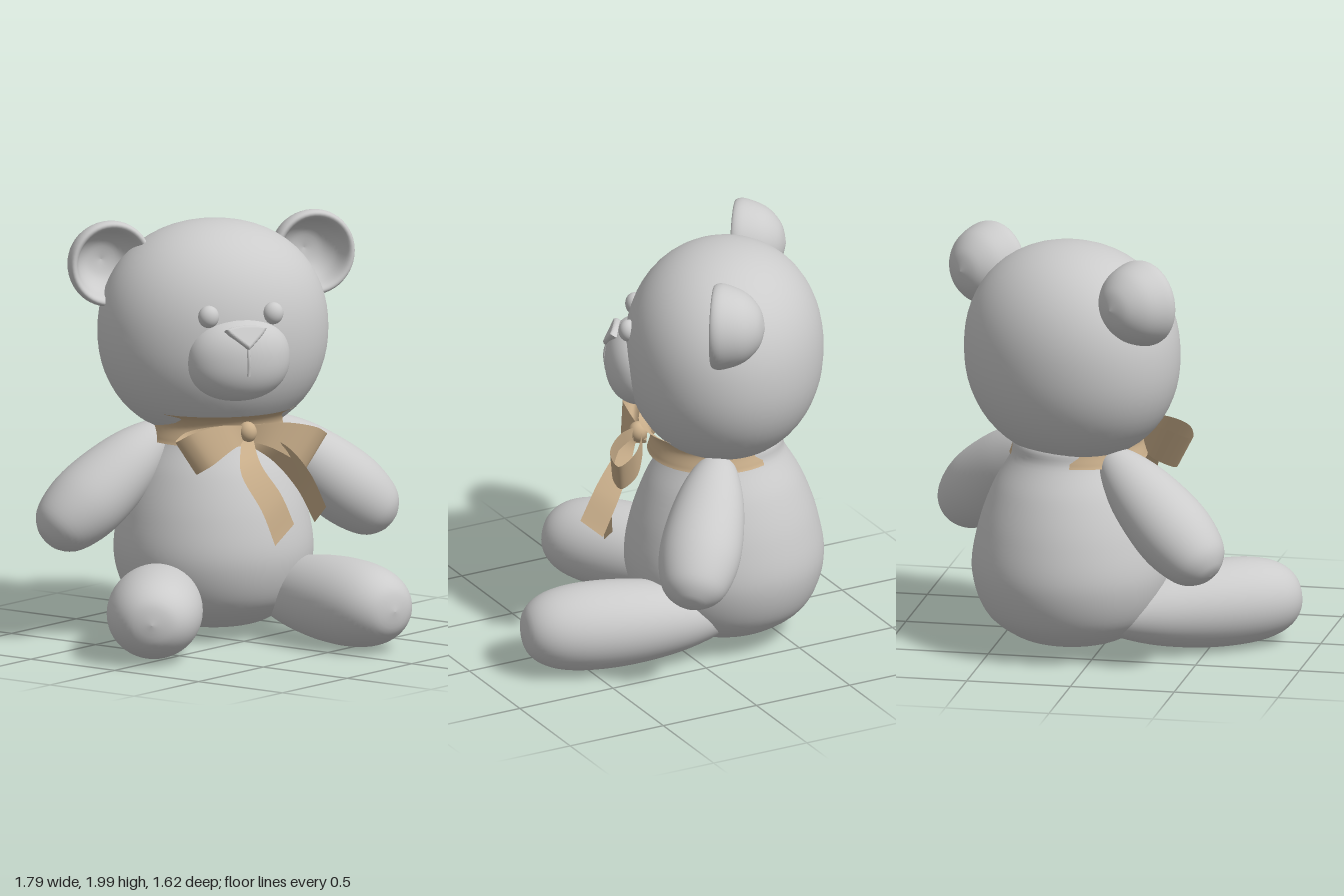
import * as THREE from 'three';
import { mergeVertices } from 'three/addons/utils/BufferGeometryUtils.js';

const fur = new THREE.MeshStandardMaterial({ color: 0xcccccc });
const cloth = new THREE.MeshStandardMaterial({ color: 0xcbb08c, side: THREE.DoubleSide });
const V = (p) => new THREE.Vector3(...p);

function add(parent, name, geometry, material = fur, position = [0, 0, 0]) {
  const mesh = new THREE.Mesh(geometry, material);
  mesh.name = name;
  mesh.position.set(...position);
  parent.add(mesh);
  return mesh;
}

// Smooth lathe through a few [radius, height] points
function turned(points, samples = 40, segments = 48) {
  const curve = new THREE.SplineCurve(points.map((p) => new THREE.Vector2(...p)));
  const profile = curve.getPoints(samples);
  profile.forEach((p) => { p.x = Math.max(p.x, 0); });
  return new THREE.LatheGeometry(profile, segments);
}

// Ellipsoid; a power above 2 makes its upright outline fuller
function ellipsoid(rx, ry, rz, power = 2) {
  const g = new THREE.SphereGeometry(1, 48, 32);
  g.deleteAttribute('uv');
  g.deleteAttribute('normal');
  const p = g.attributes.position;
  for (let i = 0; i < p.count; i++) {
    const v = new THREE.Vector3().fromBufferAttribute(p, i);
    const r = Math.hypot(v.x, v.z) ** power + Math.abs(v.y) ** power;
    v.divideScalar(r ** (1 / power));
    p.setXYZ(i, v.x * rx, v.y * ry, v.z * rz);
  }
  const merged = mergeVertices(g);
  merged.computeVertexNormals();
  return merged;
}

// Turned limb laid along the line from a to b, widened sideways
function limb(parent, name, profile, a, b, widen) {
  const g = turned(profile).rotateX(Math.PI / 2).scale(widen, 1, 1);
  const mesh = add(parent, name, g, fur, a);
  const turn = new THREE.Matrix4().lookAt(V(b), V(a), new THREE.Vector3(0, 1, 0));
  mesh.quaternion.setFromRotationMatrix(turn);
}

// Ribbon swept along centre points, with a half-width vector at each point
function ribbon(centres, halves, n = 28) {
  const path = new THREE.CatmullRomCurve3(centres.map(V));
  const width = new THREE.CatmullRomCurve3(halves.map(V));
  const pos = [], index = [];
  for (let i = 0; i <= n; i++) {
    const c = path.getPoint(i / n), w = width.getPoint(i / n);
    pos.push(...c.clone().add(w).toArray(), ...c.clone().sub(w).toArray());
    const k = 2 * i;
    if (i < n) index.push(k, k + 1, k + 2, k + 1, k + 3, k + 2);
  }
  const g = new THREE.BufferGeometry();
  g.setAttribute('position', new THREE.Float32BufferAttribute(pos, 3));
  g.setIndex(index);
  g.computeVertexNormals();
  return g;
}

export function createModel() {
  const model = new THREE.Group();
  model.name = 'teddyBear';

  // The bear sits turned towards its own right
  const bear = new THREE.Group();
  bear.name = 'bear';
  bear.position.set(0.14, 0, -0.29);
  bear.rotation.y = -0.594;
  model.add(bear);

  add(bear, 'body', turned([[0, 0.04], [0.15, 0.05], [0.28, 0.09], [0.41, 0.2], [0.472, 0.39],
    [0.445, 0.6], [0.375, 0.8], [0.29, 0.95], [0.25, 1.05], [0, 1.15]], 60));
  add(bear, 'head', ellipsoid(0.553, 0.52, 0.47, 2.15), fur, [-0.003, 1.46, 0]);
  add(bear, 'muzzle', ellipsoid(0.253, 0.203, 0.17, 2.2), fur, [-0.01, 1.382, 0.395]);

  // Nose and the seam below it
  const tri = new THREE.Shape();
  tri.moveTo(-0.085, 0.03);
  tri.quadraticCurveTo(0, 0.05, 0.085, 0.03);
  tri.quadraticCurveTo(0.035, -0.02, 0, -0.05);
  tri.quadraticCurveTo(-0.035, -0.02, -0.085, 0.03);
  const noseShape = new THREE.ExtrudeGeometry(tri, {
    depth: 0.008, bevelSize: 0.014, bevelThickness: 0.018, bevelSegments: 5, curveSegments: 10,
  });
  add(bear, 'nose', noseShape, fur, [-0.01, 1.503, 0.525]).rotation.x = -0.5;
  const seam = new THREE.CatmullRomCurve3([V([-0.01, 1.47, 0.55]), V([-0.01, 1.4, 0.565]), V([-0.01, 1.32, 0.557])]);
  add(bear, 'mouthSeam', new THREE.TubeGeometry(seam, 12, 0.009, 8));

  // Knot and loops share an offset from the middle of the chest
  const bow = new THREE.Group();
  bow.name = 'bow';
  bow.position.set(0.035, 0, -0.015);
  bear.add(bow);
  add(bow, 'bowKnot', ellipsoid(0.045, 0.05, 0.045), cloth, [0, 1.025, 0.42]);

  // Paired parts
  const legProfile = [[0, -0.02], [0.08, 0.02], [0.15, 0.2], [0.19, 0.4], [0.207, 0.6],
    [0.2, 0.78], [0.166, 0.91], [0.1, 0.99], [0, 1.015]];
  const armProfile = [[0, -0.02], [0.075, 0.02], [0.14, 0.18], [0.175, 0.38], [0.178, 0.55],
    [0.14, 0.7], [0.07, 0.77], [0, 0.785]];
  const earProfile = [[0, -0.235], [0.09, -0.21], [0.165, -0.14], [0.203, -0.04], [0.197, 0.008],
    [0.17, 0.002], [0.135, -0.08], [0.08, -0.135], [0, -0.155]];
  for (const [side, s] of [['left', 1], ['right', -1]]) {
    limb(bear, side + 'Leg', legProfile, [s * 0.25, 0.215, -0.05], [s * 0.605, 0.215, 0.9], 1.09);
    limb(bear, side + 'Arm', armProfile, [s * 0.25, 0.99, 0], [s * 0.72, 0.61, 0.06], 1.07);
    add(bear, side + 'Ear', turned(earProfile).rotateX(Math.PI / 2), fur, [s * 0.505, 1.79, -0.01]);
    add(bear, side + 'Eye', ellipsoid(0.05, 0.053, 0.045), fur, [s * 0.16 - 0.01, 1.595, 0.44]);

    // Drooping bow loop: out along the front, back along the rear
    add(bow, side + 'BowLoop', ribbon(
      [[0, 1.02, 0.42], [s * 0.13, 1.015, 0.49], [s * 0.27, 0.965, 0.52], [s * 0.325, 0.925, 0.475],
        [s * 0.26, 0.955, 0.41], [s * 0.13, 0.995, 0.39], [0, 1.02, 0.4]],
      [[0, 0.035, 0], [s * 0.03, 0.06, 0], [s * 0.05, 0.08, 0], [s * 0.052, 0.08, 0],
        [s * 0.05, 0.08, 0], [s * 0.03, 0.06, 0], [0, 0.035, 0]], 40), cloth);
  }

  // Neck band
  const band = turned([[0.325, 0.95], [0.318, 0.97], [0.305, 1.03], [0.325, 1.075], [0.365, 1.1]]);
  add(bear, 'neckBand', band.scale(1.03, 1, 0.98), cloth, [0, 0, 0.045]);

  // Hanging ribbon ends
  add(model, 'rightRibbonTail', ribbon(
    [[-0.07, 1.0, 0.07], [-0.13, 0.87, 0.14], [-0.07, 0.7, 0.22], [-0.01, 0.545, 0.25]],
    [[0.03, 0.01, 0.01], [0.06, 0.02, 0.01], [0.06, 0.035, 0.01], [0.06, 0.045, 0.01]]), cloth);
  add(model, 'leftRibbonTail', ribbon(
    [[-0.06, 1.0, 0.07], [0.02, 0.93, 0.19], [0.07, 0.8, 0.3], [0.085, 0.645, 0.39]],
    [[0.02, 0.02, 0.01], [0, 0.04, 0.04], [-0.015, 0.045, 0.05], [-0.02, 0.045, 0.05]]), cloth);

  return model;
}
